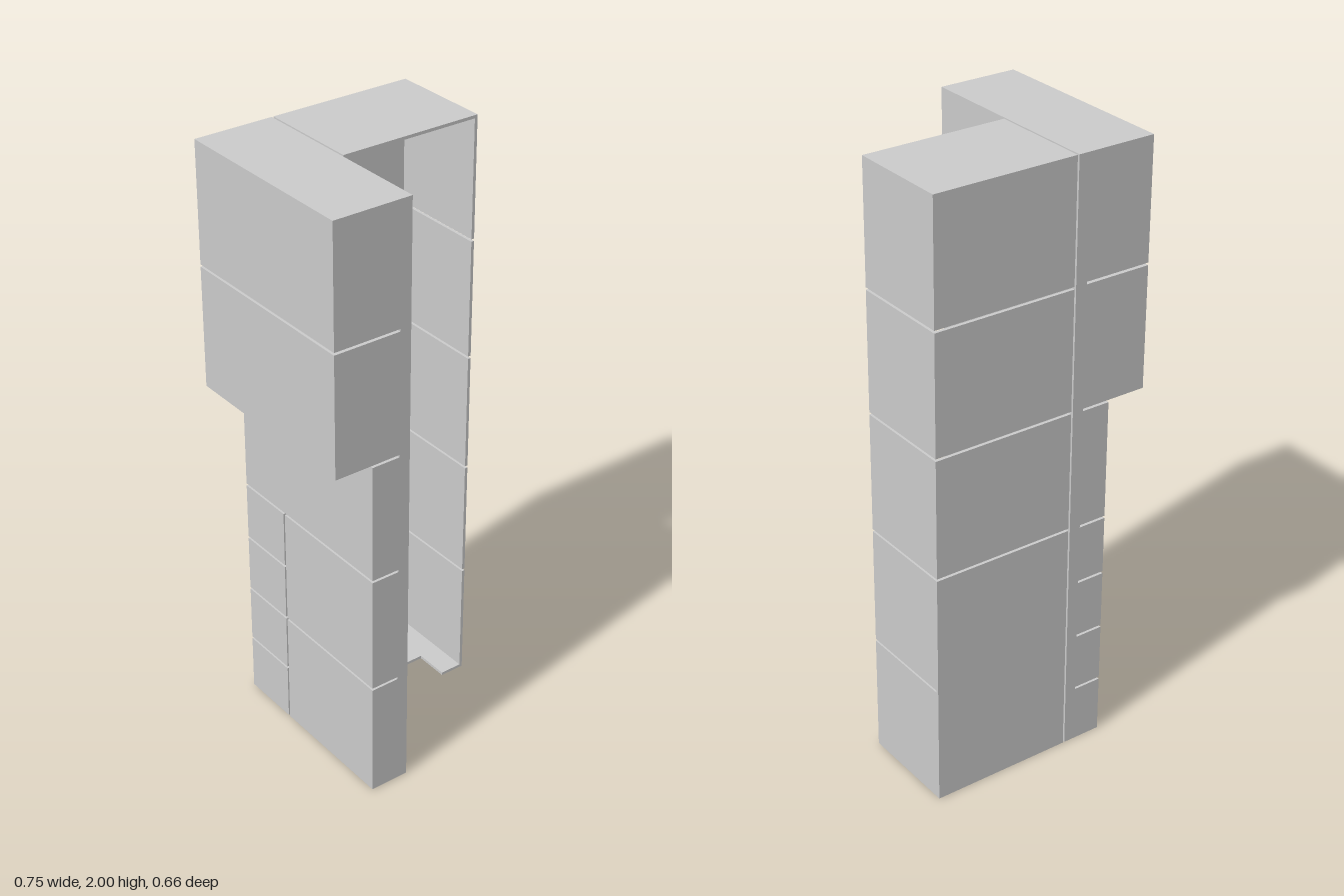
import * as THREE from 'three';

// Tall modular cabinet: a storage slab beside an open-fronted alcove.
export function createModel() {
  const group = new THREE.Group();
  group.name = 'modularCabinet';
  const material = new THREE.MeshStandardMaterial({ color: 0xcccccc, flatShading: true });

  // Box given by its extents on each axis
  function box(name, [x0, x1], [y0, y1], [z0, z1]) {
    const mesh = new THREE.Mesh(new THREE.BoxGeometry(x1 - x0, y1 - y0, z1 - z0), material);
    mesh.position.set((x0 + x1) / 2, (y0 + y1) / 2, (z0 + z1) / 2);
    mesh.name = name;
    group.add(mesh);
  }

  const gap = 0.008, wall = 0.01;
  const back = -0.33, front = 0.33, alcoveFront = 0.01, baseFront = -0.105;
  const slabRight = -0.375, slabLow = -0.245, spineX = -0.15, slabLeft = -0.112;
  const alcoveLeft = -0.106, alcoveRight = 0.373;

  // Upright spine carrying the storage units
  box('spinePanel', [spineX, slabLeft], [0, 2], [back, front]);

  // Two deep upper units
  box('upperUnit', [slabRight, spineX], [1.2, 1.6], [back, front]);
  box('upperUnit', [slabRight, spineX], [1.6 + gap, 2], [back, front]);

  // Shallow middle unit, two lower front units and four rear drawers
  box('middleUnit', [slabLow, spineX], [0.8, 1.2 - gap], [back, front]);
  for (let i = 0; i < 2; i++) {
    box('lowerUnit', [slabLow, spineX], [i * 0.4, (i + 1) * 0.4 - gap], [-0.12, front]);
  }
  for (let i = 0; i < 4; i++) {
    box('rearDrawer', [slabLow, spineX], [i * 0.2, (i + 1) * 0.2 - gap], [back, -0.127]);
  }

  // Alcove outer wall in five tiers
  for (let i = 0; i < 5; i++) {
    const y0 = i * 0.4 + (i ? gap / 2 : 0);
    const y1 = (i + 1) * 0.4 - (i < 4 ? gap / 2 : 0);
    box('sidePanel', [alcoveRight - wall, alcoveRight], [y0, y1], [back + wall, alcoveFront]);
    // Partition beside the spine, lower three tiers only
    if (i < 3) box('partitionPanel', [alcoveLeft, alcoveLeft + wall], [y0, y1], [back + wall, baseFront]);
  }

  // Alcove back panels: one tall, three single
  const levels = [0, 0.8, 1.2, 1.6, 2];
  for (let i = 0; i < 4; i++) {
    const y0 = levels[i] + (i ? gap / 2 : 0);
    const y1 = levels[i + 1] - (i < 3 ? gap / 2 : 0);
    box('backPanel', [alcoveLeft, alcoveRight], [y0, y1], [back, back + wall]);
  }

  // Alcove top, floor and the short floor strip along the outer wall
  box('topPanel', [alcoveLeft, alcoveRight - wall], [2 - wall, 2], [back + wall, alcoveFront]);
  box('floorPanel', [alcoveLeft + wall, alcoveRight - wall], [0, wall], [back + wall, baseFront]);
  box('floorStrip', [0.288, alcoveRight - wall], [0, wall], [baseFront, alcoveFront]);

  return group;
}
